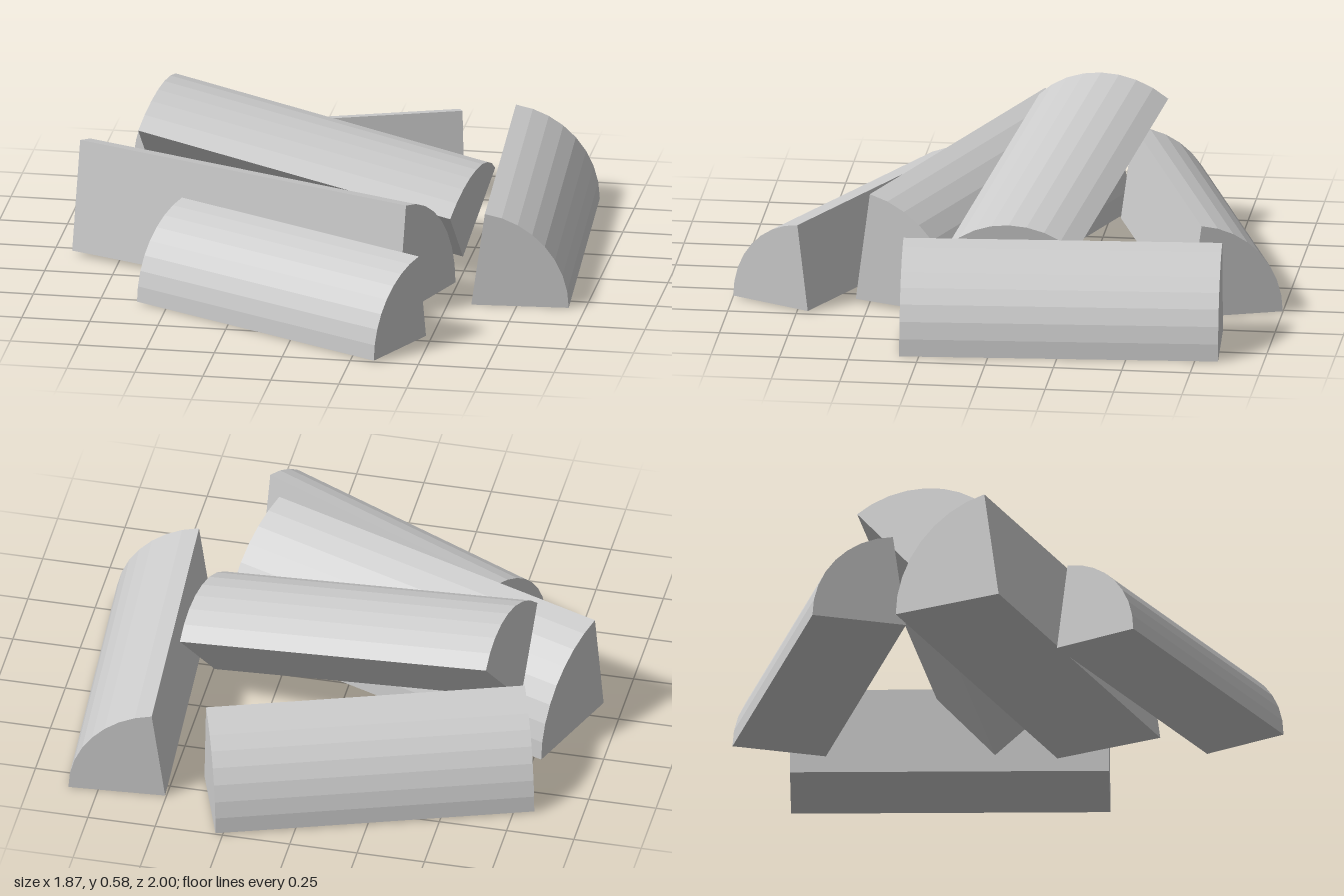
import * as THREE from 'three';

const material = new THREE.MeshStandardMaterial({ color: 0xcccccc, flatShading: true });

// Split log: a pie wedge of a round trunk, its heart edge running from start to end.
// Angles (degrees) are measured from the horizontal, perpendicular to the heart edge.
function splitLog(name, start, end, radius, fromDeg, toDeg) {
  const a = new THREE.Vector3(...start);
  const b = new THREE.Vector3(...end);
  const length = a.distanceTo(b);
  const steps = 8;

  const outline = [new THREE.Vector2(0, 0)];
  for (let i = 0; i <= steps; i++) {
    const t = THREE.MathUtils.degToRad(fromDeg + ((toDeg - fromDeg) * i) / steps);
    outline.push(new THREE.Vector2(radius * Math.cos(t), radius * Math.sin(t)));
  }
  const geometry = new THREE.ExtrudeGeometry(new THREE.Shape(outline), {
    depth: length, bevelEnabled: false, steps: 1,
  });

  // Lay the wedge along its heart edge
  const along = b.clone().sub(a).normalize();
  const across = new THREE.Vector3(0, 1, 0).cross(along).normalize();
  const up = along.clone().cross(across);
  const mesh = new THREE.Mesh(geometry, material);
  mesh.name = name;
  mesh.quaternion.setFromRotationMatrix(new THREE.Matrix4().makeBasis(across, up, along));
  mesh.position.copy(a);
  return mesh;
}

export function createModel() {
  const group = new THREE.Group();
  group.name = 'firewoodPile';
  group.add(
    // Four logs lying on one flat side
    splitLog('leftLog', [0.505, 0, -0.81], [0.585, 0, 0.345], 0.355, 0, 82),
    splitLog('frontLog', [0.48, 0.005, 0.71], [-0.47, 0.005, 0.24], 0.323, 0, 82),
    splitLog('middleLog', [-0.93, 0.015, 0.065], [0.35, 0.015, 0.55], 0.413, 0, 82),
    splitLog('backLog', [-0.71, 0.005, -0.29], [0.39, 0.005, -0.67], 0.35, 0, 82),
    // Log leaning on top, bark side up
    splitLog('topLog', [-0.694, 0.232, -0.257], [0.486, 0.032, -0.062], 0.356, 50, 137),
  );
  return group;
}
